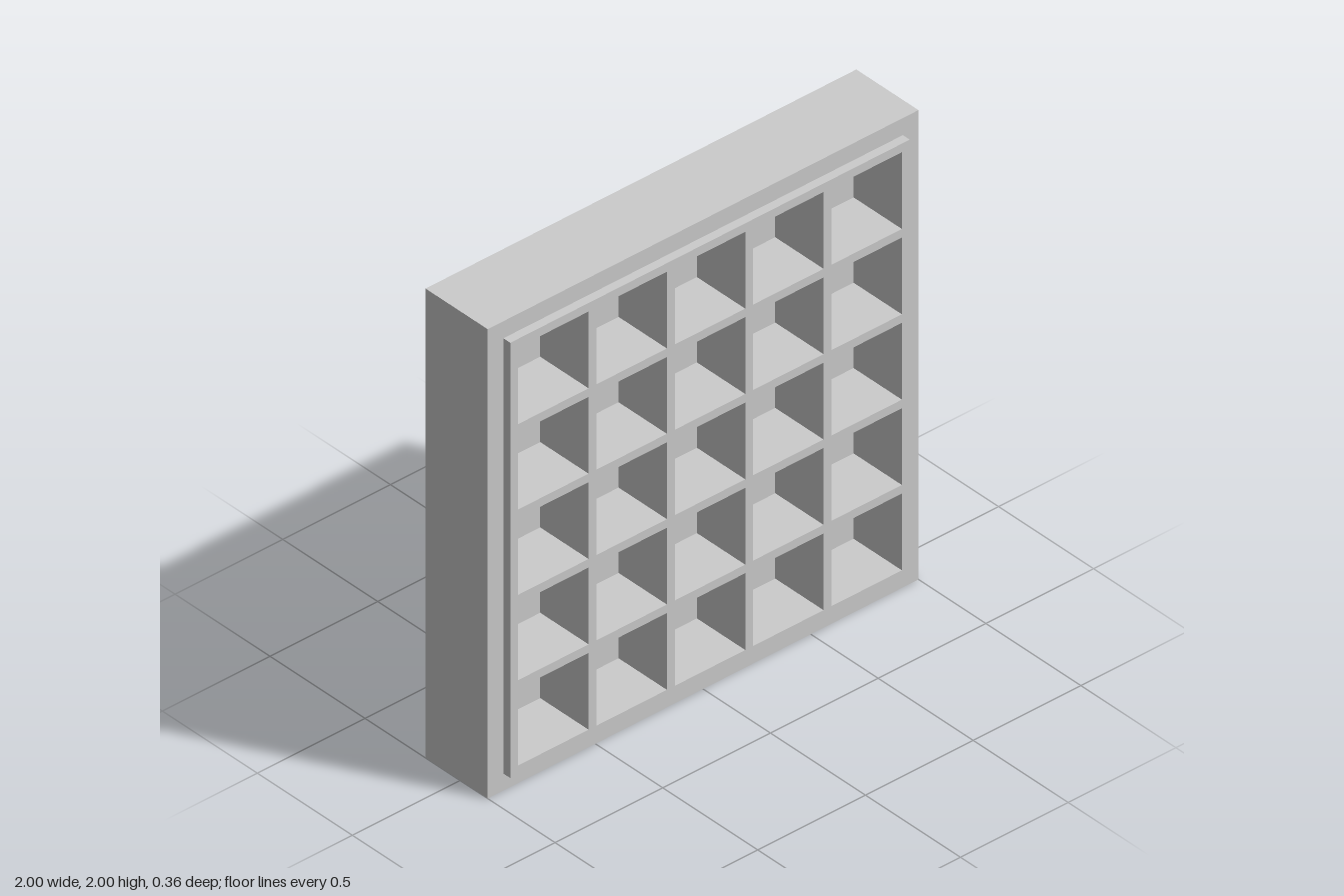
import * as THREE from 'three';

const U = 2 / 5.5;          // pitch of one compartment
const CELLS = 5;
const BACK = -0.5 * U;      // rear face
const FLOOR = -0.2 * U;     // bottom of the compartments
const RIM = 0.4 * U;        // front of the case
const FRONT = 0.5 * U;      // front of the raised divider grid

// Square outline, used both as a shape and as a hole
function square(Type, cx, cy, half) {
  return new Type([
    [-half, -half], [half, -half], [half, half], [-half, half],
  ].map(([x, y]) => new THREE.Vector2(cx + x, cy + y)));
}

export function createModel() {
  const group = new THREE.Group();
  const material = new THREE.MeshStandardMaterial({ color: 0xcccccc, flatShading: true });

  const add = (name, geometry, z) => {
    const mesh = new THREE.Mesh(geometry, material);
    mesh.name = name;
    mesh.position.set(0, 1, z);
    group.add(mesh);
  };
  const extrude = (shape, depth) =>
    new THREE.ExtrudeGeometry(shape, { depth, bevelEnabled: false });

  // Solid back, forming the floor of every compartment
  add('backPanel', new THREE.BoxGeometry(2, 2, FLOOR - BACK), (BACK + FLOOR) / 2);

  // Outer case wall around the grid
  const gridHalf = 2.55 * U;
  const wall = square(THREE.Shape, 0, 0, 1);
  wall.holes.push(square(THREE.Path, 0, 0, gridHalf));
  add('caseFrame', extrude(wall, RIM - FLOOR), FLOOR);

  // Divider grid with square compartments, standing proud of the case
  const grid = square(THREE.Shape, 0, 0, gridHalf);
  const middle = (CELLS - 1) / 2;
  for (let row = 0; row < CELLS; row++) {
    for (let col = 0; col < CELLS; col++) {
      grid.holes.push(square(THREE.Path, (col - middle) * U, (row - middle) * U, 0.45 * U));
    }
  }
  add('dividerGrid', extrude(grid, FRONT - FLOOR), FLOOR);

  return group;
}
